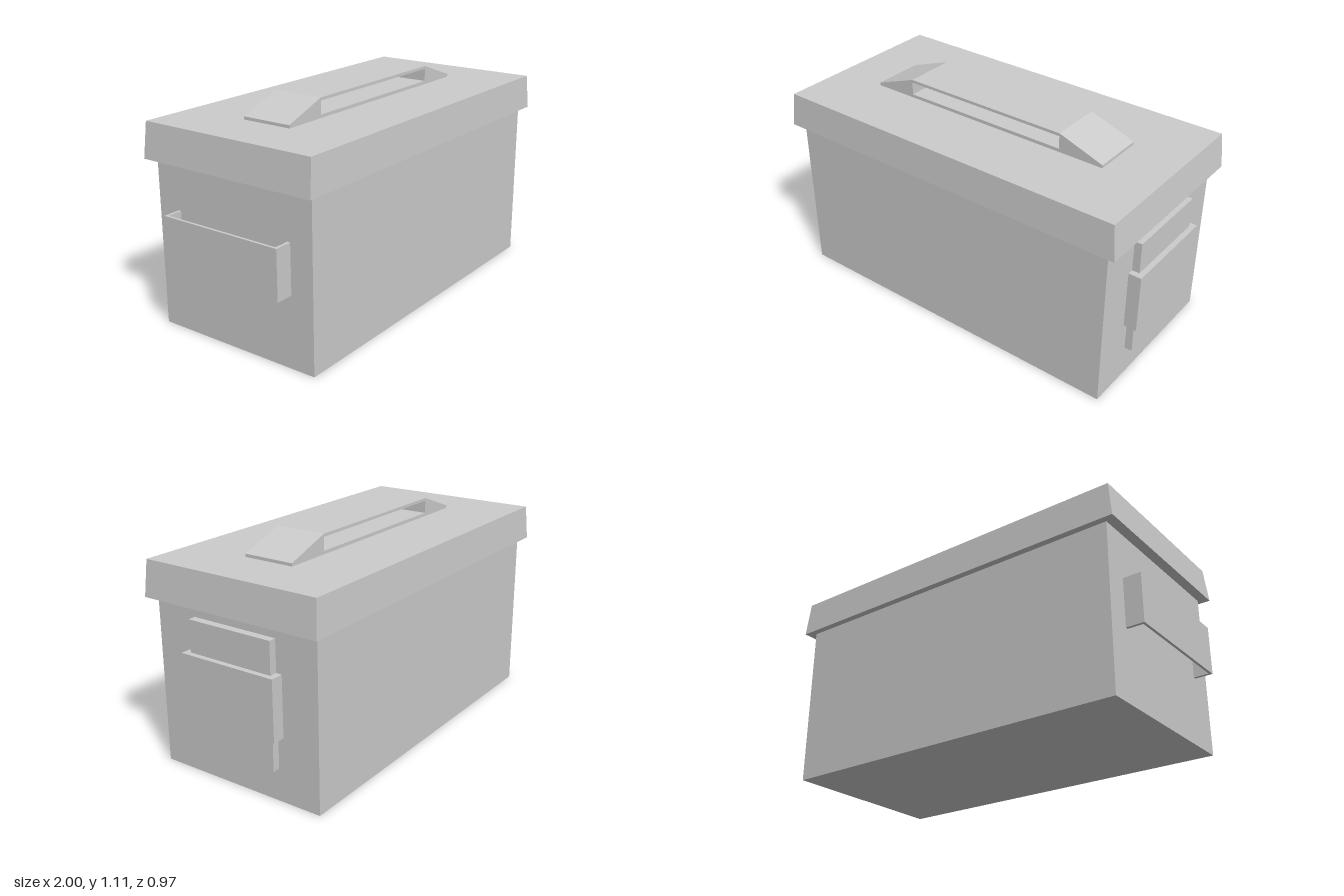
import * as THREE from 'three';

const material = new THREE.MeshStandardMaterial({ color: 0xcccccc, flatShading: true });

// Box given by its min and max on each axis
function box(name, [x0, x1], [y0, y1], [z0, z1]) {
  const mesh = new THREE.Mesh(new THREE.BoxGeometry(x1 - x0, y1 - y0, z1 - z0), material);
  mesh.position.set((x0 + x1) / 2, (y0 + y1) / 2, (z0 + z1) / 2);
  mesh.name = name;
  return mesh;
}

const toPoints = (list) => list.map(([x, y]) => new THREE.Vector2(x, y));

export function createModel() {
  const model = new THREE.Group();
  model.name = 'metalBox';

  model.add(box('body', [-0.91, 0.935], [0, 0.86], [-0.453, 0.453]));

  // Lid: overhanging box whose top is drawn in slightly
  const lid = box('lid', [-0.96, 0.985], [0.836, 1.013], [-0.487, 0.487]);
  const pos = lid.geometry.attributes.position;
  for (let i = 0; i < pos.count; i++) {
    if (pos.getY(i) > 0) {
      pos.setX(i, pos.getX(i) - Math.sign(pos.getX(i)) * 0.018);
      pos.setZ(i, pos.getZ(i) - Math.sign(pos.getZ(i)) * 0.009);
    }
  }
  lid.geometry.computeVertexNormals();
  model.add(lid);

  // Top handle: sloped bar with a long slot through it
  const profile = new THREE.Shape(toPoints([
    [-0.663, 1.005], [0.69, 1.005], [0.69, 1.028], [0.455, 1.11], [-0.437, 1.11], [-0.663, 1.028],
  ]));
  profile.holes.push(new THREE.Path(toPoints([
    [-0.437, 1.03], [-0.437, 1.095], [0.455, 1.095], [0.455, 1.03],
  ])));
  const topHandle = new THREE.Mesh(
    new THREE.ExtrudeGeometry(profile, { depth: 0.267, bevelEnabled: false }), material);
  topHandle.position.z = -0.133;
  topHandle.name = 'topHandle';
  model.add(topHandle);

  // Latch on the left end: tall plate with a wider clasp over it
  const latch = new THREE.Group();
  latch.name = 'latch';
  latch.add(box('latchPlate', [0.93, 0.973], [0.162, 0.778], [-0.231, 0.231]));
  latch.add(box('latchClasp', [0.93, 1.0], [0.32, 0.62], [-0.261, 0.261]));
  model.add(latch);

  // Thin strap handle on the right end
  const sideHandle = new THREE.Group();
  sideHandle.name = 'sideHandle';
  const height = [0.357, 0.603];
  sideHandle.add(box('strap', [-1.0, -0.987], height, [-0.333, 0.333]));
  for (const s of [-1, 1]) {
    const z = [s * 0.318, s * 0.333].sort((a, b) => a - b);
    sideHandle.add(box('strapEnd', [-0.987, -0.908], height, z));
  }
  model.add(sideHandle);

  return model;
}
